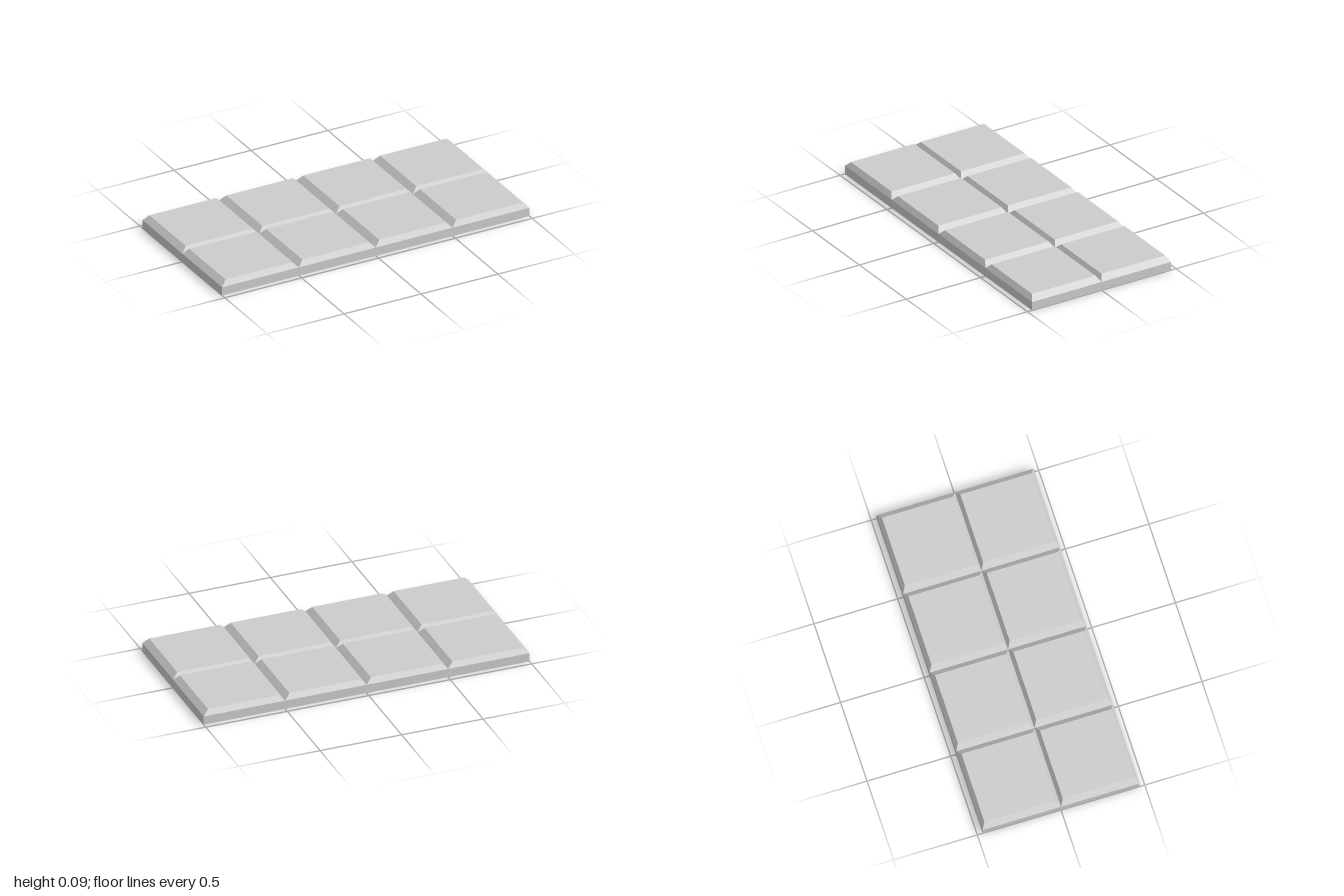
import * as THREE from 'three';

const WIDTH = 2, DEPTH = 0.936, BASE = 0.053, RISE = 0.032;
const COLS = 4, ROWS = 2, BEVEL_X = 0.034, BEVEL_Z = 0.021;

// Box standing on y = 0 whose top edges are drawn inwards
function bevelledTile(w, h, d, bx, bz) {
  const geo = new THREE.BoxGeometry(w, h, d).translate(0, h / 2, 0);
  const pos = geo.attributes.position;
  for (let i = 0; i < pos.count; i++) {
    if (pos.getY(i) < h / 2) continue;
    pos.setX(i, pos.getX(i) - Math.sign(pos.getX(i)) * bx);
    pos.setZ(i, pos.getZ(i) - Math.sign(pos.getZ(i)) * bz);
  }
  geo.computeVertexNormals();
  return geo;
}

export function createModel() {
  const model = new THREE.Group();
  model.name = 'segmentedBar';
  const grey = new THREE.MeshStandardMaterial({ color: 0xcccccc, flatShading: true });
  grey.name = 'light grey';

  // Flat slab
  const base = new THREE.Mesh(new THREE.BoxGeometry(WIDTH, BASE, DEPTH), grey);
  base.name = 'base';
  base.position.y = BASE / 2;
  model.add(base);

  // Grid of bevelled segments, meeting in V-shaped grooves
  const w = WIDTH / COLS, d = DEPTH / ROWS;
  const tile = bevelledTile(w, RISE, d, BEVEL_X, BEVEL_Z);
  for (let r = 0; r < ROWS; r++) {
    for (let c = 0; c < COLS; c++) {
      const segment = new THREE.Mesh(tile, grey);
      segment.name = `segment${r * COLS + c + 1}`;
      segment.position.set((c + 0.5) * w - WIDTH / 2, BASE, (r + 0.5) * d - DEPTH / 2);
      model.add(segment);
    }
  }
  return model;
}
